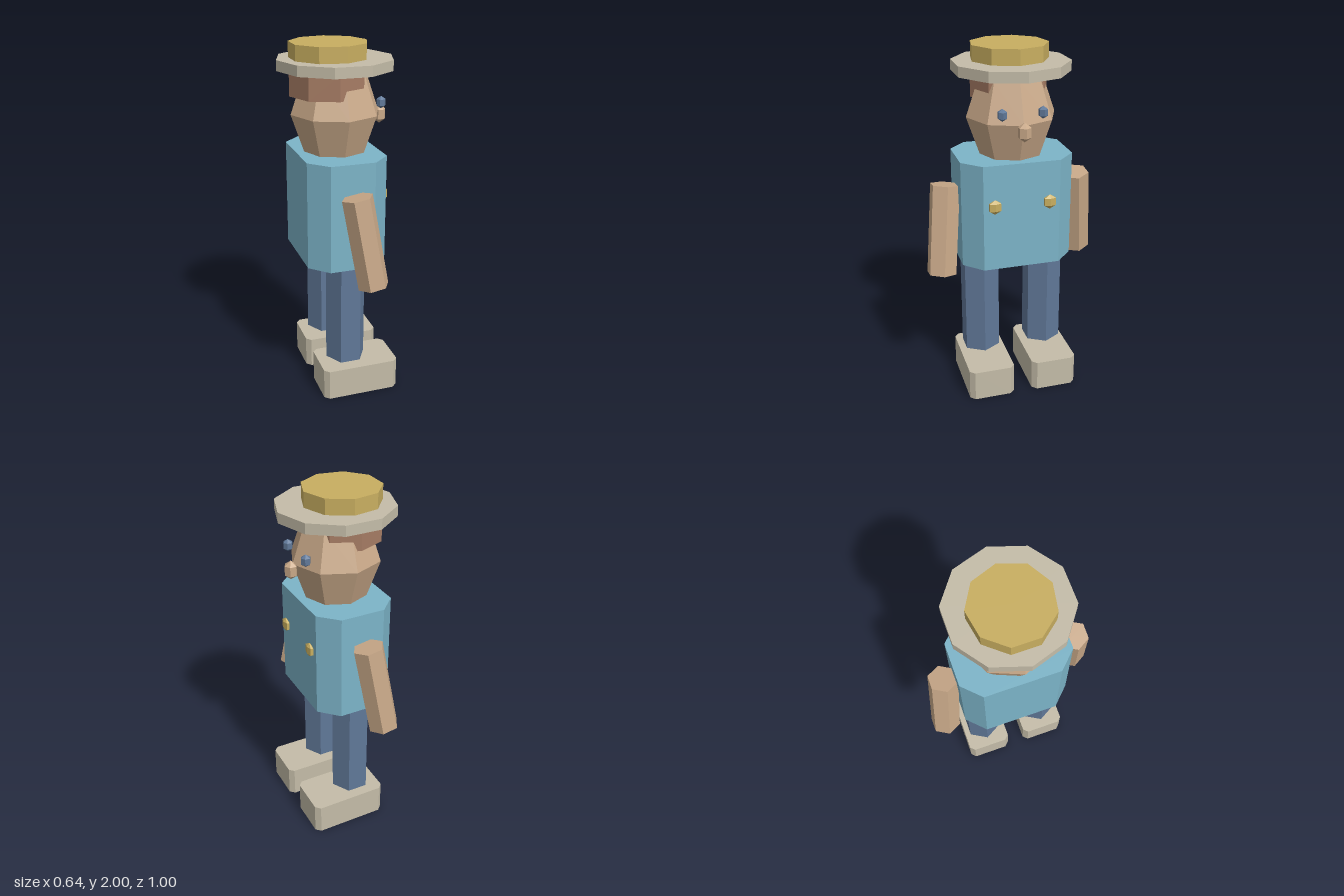
import * as THREE from 'three';

const flat = (geo) => {
  const g = geo.index ? geo.toNonIndexed() : geo;
  g.computeVertexNormals();
  return g;
};

// Block with its four vertical corners cut off; stands on y = 0
function chamferedBlock(w, h, d, c) {
  const x = w / 2, z = d / 2;
  const pts = [[x, -z + c], [x, z - c], [x - c, z], [-x + c, z], [-x, z - c], [-x, -z + c], [-x + c, -z], [x - c, -z]];
  const shape = new THREE.Shape(pts.map((p) => new THREE.Vector2(p[0], p[1])));
  const geo = new THREE.ExtrudeGeometry(shape, { depth: h, bevelEnabled: false });
  return geo.rotateX(-Math.PI / 2);
}

// Upright prism with a corner pointing along +x
function prism(r, h, sides) {
  return flat(new THREE.CylinderGeometry(r, r, h, sides).rotateY(Math.PI / 2));
}

// Faceted ball stretched along each axis
function ball(rx, ry, rz, across, down) {
  return flat(new THREE.SphereGeometry(1, across, down).scale(rx, ry, rz));
}

export function createModel() {
  const model = new THREE.Group();
  model.name = 'figure';

  const mat = (name, color) => {
    const m = new THREE.MeshStandardMaterial({ color });
    m.name = name;
    return m;
  };
  const skin = mat('skin', 0xc8a888);
  const shirt = mat('shirt blue', 0x7cb4c8);
  const denim = mat('denim blue', 0x607898);
  const stone = mat('warm grey', 0xc4bca8);
  const gold = mat('gold', 0xc8ae60);
  const brown = mat('hair brown', 0xa67c64);

  const add = (name, geo, material, x, y, z) => {
    const mesh = new THREE.Mesh(geo, material);
    mesh.name = name;
    mesh.position.set(x, y, z);
    model.add(mesh);
    return mesh;
  };

  // Torso and head; the figure looks along +x
  add('torso', chamferedBlock(0.45, 0.605, 0.63, 0.1), shirt, 0, 0.805, 0);
  add('head', ball(0.25, 0.3, 0.25, 8, 4), skin, 0, 1.62, 0);
  add('nose', ball(0.041, 0.053, 0.042, 6, 3), skin, 0.26, 1.59, 0);

  // Hair and hat
  add('hair', prism(0.215, 0.14, 8), brown, -0.04, 1.79, 0);
  add('hatBrim', prism(0.322, 0.057, 10), stone, 0, 1.887, 0);
  add('hatCrown', prism(0.215, 0.085, 9), gold, -0.036, 1.9575, 0);

  // Paired parts
  for (const [side, s] of [['near', 1], ['far', -1]]) {
    add(side + 'Eye', ball(0.03, 0.034, 0.03, 6, 3), denim, 0.225, 1.68, s * 0.11);
    add(side + 'Button', ball(0.018, 0.042, 0.042, 6, 3), gold, 0.235, 1.18, s * 0.154);
    add(side + 'Leg', prism(0.115, 0.595, 6), denim, 0, 0.5075, s * 0.19);
    add(side + 'Shoe', chamferedBlock(0.447, 0.18, 0.267, 0.027), stone, 0.0625, 0, s * 0.188);

    // Arms swing in opposite directions
    const shoulder = new THREE.Vector3(0, 1.25, s * 0.377);
    const hand = new THREE.Vector3(s * 0.08, 0.75, s * 0.428);
    const axis = shoulder.clone().sub(hand);
    const mid = shoulder.clone().add(hand).multiplyScalar(0.5);
    const arm = add(side + 'Arm', prism(0.086, axis.length(), 6), skin, mid.x, mid.y, mid.z);
    arm.quaternion.setFromUnitVectors(new THREE.Vector3(0, 1, 0), axis.normalize());
  }

  return model;
}
